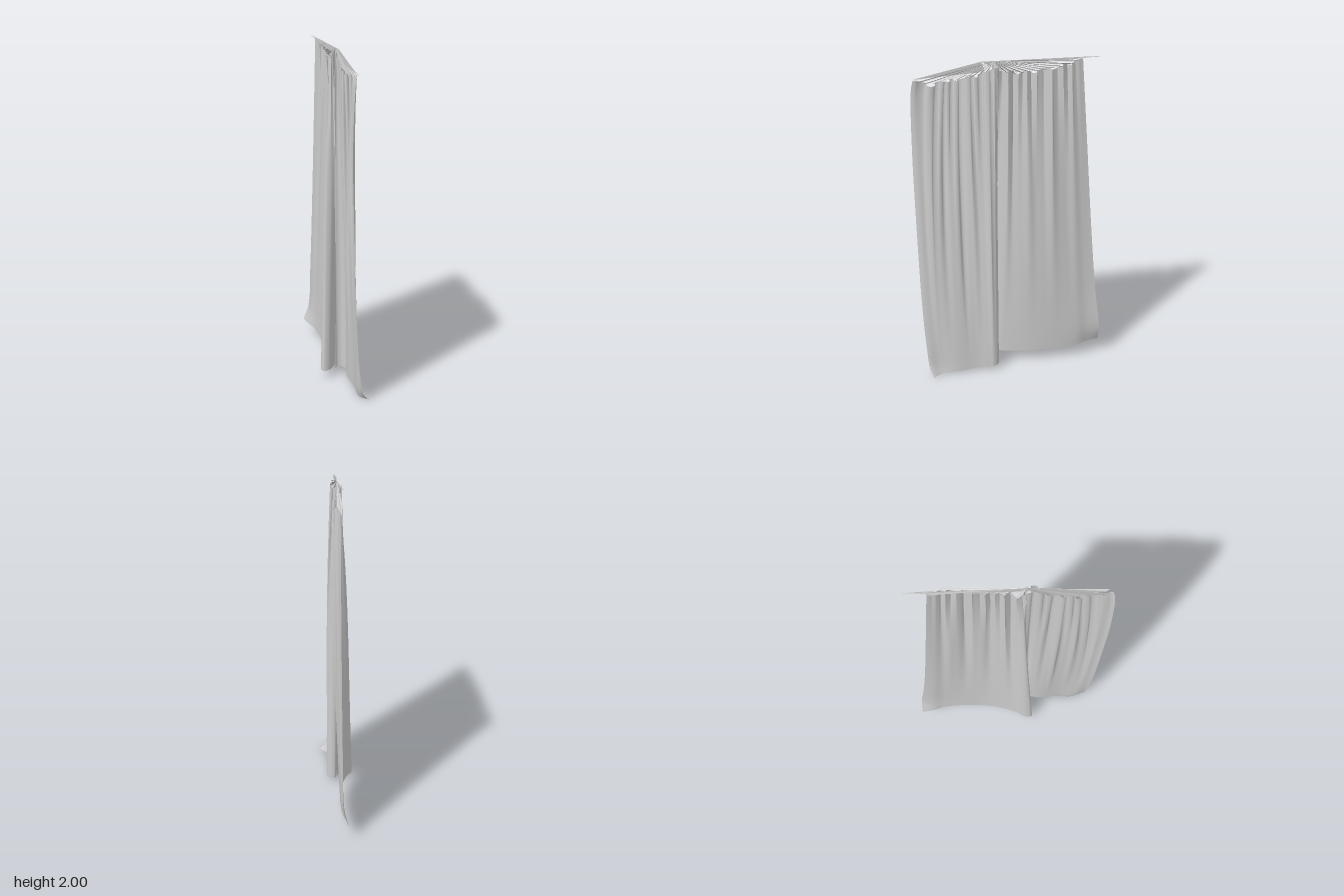
import * as THREE from 'three';

const cloth = new THREE.MeshStandardMaterial({ color: 0xcccccc, side: THREE.DoubleSide });
const curve = pts => new THREE.CatmullRomCurve3(pts.map(p => new THREE.Vector3(...p)));

// Point of a rising edge line at a given height
function atHeight(points, y) {
  let i = 1;
  while (i < points.length - 1 && points[i].y < y) i++;
  const a = points[i - 1], b = points[i];
  return a.clone().lerp(b, THREE.MathUtils.clamp((y - a.y) / (b.y - a.y), 0, 1));
}

// Irregular pleats: phase and strength wander along the panel, u = 0 at the outer edge
function pleat(p, u) {
  const phase = u * p.folds * Math.PI * 2 + 1.3 * Math.sin(u * 15 + p.seed);
  const calm = THREE.MathUtils.smoothstep(u, 0, p.calm);
  return { phase, amp: calm * (0.7 + 0.3 * Math.sin(u * 37 + p.seed * 2)) };
}

// One hanging sheet: hem, middle and header cross-sections blended, then pleated
function panel(p) {
  const nu = 260, nv = 80, pos = [], idx = [];
  const hem = curve(p.hem), mid = curve(p.mid), top = curve(p.top);
  const edge = curve(p.edge).getPoints(120);
  const blend = (t, v) => {
    const a = hem.getPoint(t), m = mid.getPoint(t), b = top.getPoint(t);
    const y = a.y + (b.y - a.y) * v;
    a.multiplyScalar((1 - v) * (1 - 2 * v));
    a.addScaledVector(m, 4 * v * (1 - v)).addScaledVector(b, v * (2 * v - 1));
    a.y = y;
    return a;
  };
  for (let j = 0; j <= nv; j++) {
    const v = j / nv, outer = blend(0, v), e = atHeight(edge, outer.y);
    for (let i = 0; i <= nu; i++) {
      const u = i / nu, q = blend(hem.getUtoTmapping(u), v), f = pleat(p, u);
      const pull = Math.pow(1 - u, 8);
      // each pleat fades downward at its own rate
      const fade = f.amp * Math.pow(v, p.fade + 2 * Math.sin(u * 19 + p.seed));
      const soft = f.amp * v * v * (1 - v) * 0.07 * Math.sin(u * 31 + p.seed);
      pos.push(
        q.x + 0.023 * fade * Math.sin(f.phase) + soft + pull * (e.x - outer.x),
        q.y + 0.012 * f.amp * Math.pow(v, 12) * Math.sin(f.phase * 0.6),
        q.z + 0.011 * fade * Math.sin(2 * f.phase) + pull * (e.z - outer.z));
    }
  }
  for (let j = 0; j < nv; j++) for (let i = 0; i < nu; i++) {
    const a = j * (nu + 1) + i, c = a + nu + 1;
    idx.push(a, a + 1, c + 1, a, c + 1, c);
  }
  return mesh(p.name, pos, idx);
}

function mesh(name, pos, idx) {
  const g = new THREE.BufferGeometry();
  g.setAttribute('position', new THREE.Float32BufferAttribute(pos, 3));
  g.setIndex(idx);
  g.computeVertexNormals();
  const m = new THREE.Mesh(g, cloth);
  m.name = name;
  return m;
}

// Narrow webs fanning from the central hanging point to the pleat tops
function fan(p, name) {
  const pos = [], idx = [], n = 24, top = curve(p.top);
  for (let i = 0; i < n; i++) {
    const a = top.getPointAt(i / n), b = top.getPointAt((i + 0.9) / n);
    const side = i % 2 ? 0.018 : -0.016;
    pos.push(0, 2, 0.1, a.x + side, a.y, a.z, b.x + side * 0.3, b.y, b.z);
    idx.push(3 * i, 3 * i + 1, 3 * i + 2);
  }
  return mesh(name, pos, idx);
}

export function createModel() {
  const group = new THREE.Group();
  group.name = 'curtains';

  const front = {
    name: 'frontCurtain', folds: 9, seed: 1.3, calm: 0.08, fade: 3.5,
    hem: [[0.096, 0.004, 0.505], [0.054, 0.003, 0.455], [0.054, 0.012, 0.35], [0.046, 0.022, 0.22], [0.057, 0.03, 0.15],
      [0.061, 0.033, 0.12], [0.042, 0.035, 0.09], [0.012, 0.036, 0.087], [0, 0.036, 0.11]],
    mid: [[-0.01, 1, 0.568], [0.01, 1, 0.5], [0.02, 1, 0.38], [0.022, 1, 0.24], [0.037, 1, 0.17],
      [0.049, 1, 0.13], [0.032, 1, 0.092], [0.005, 1, 0.088], [-0.01, 1, 0.11]],
    top: [[0, 1.91, 0.555], [0.003, 1.89, 0.46], [0, 1.9, 0.36], [0.005, 1.915, 0.25], [0.012, 1.93, 0.18],
      [0.018, 1.95, 0.13], [0.012, 1.965, 0.095], [0, 1.965, 0.09], [-0.006, 1.96, 0.11]],
    edge: [[0.096, 0.004, 0.505], [0.06, 0.05, 0.525], [0.034, 0.2, 0.54], [0.01, 0.5, 0.556],
      [-0.01, 1, 0.568], [-0.024, 1.5, 0.574], [-0.01, 1.85, 0.567], [0, 1.91, 0.555]],
  };
  const back = {
    name: 'backCurtain', folds: 10, seed: 4.1, calm: 0.22, fade: 5,
    hem: [[-0.05, 0.1, -0.573], [-0.038, 0.095, -0.5], [-0.015, 0.09, -0.42], [-0.012, 0.075, -0.15],
      [-0.06, 0.065, 0.05], [-0.098, 0.055, 0.125], [-0.092, 0.052, 0.165], [-0.055, 0.052, 0.16],
      [-0.02, 0.05, 0.12], [0, 0.05, 0.085]],
    mid: [[-0.004, 1, -0.487], [0.002, 1, -0.43], [0.014, 1, -0.36], [0.017, 1, -0.13], [-0.02, 1, 0.03],
      [-0.058, 1, 0.085], [-0.06, 1, 0.12], [-0.035, 1, 0.12], [-0.01, 1, 0.1], [0.005, 1, 0.085]],
    top: [[0, 1.995, -0.41], [0.01, 1.985, -0.37], [0.022, 1.965, -0.31], [0.016, 1.935, -0.12], [0, 1.93, 0.02],
      [-0.02, 1.945, 0.06], [-0.025, 1.955, 0.085], [-0.012, 1.96, 0.09], [0, 1.96, 0.085], [0.005, 1.96, 0.075]],
    edge: [[-0.05, 0.1, -0.573], [-0.016, 0.2, -0.572], [-0.01, 0.5, -0.535], [-0.006, 0.9, -0.497],
      [-0.002, 1.5, -0.449], [0, 1.995, -0.41]],
  };
  group.add(panel(front), panel(back));
  group.add(fan(front, 'frontHeaderWeb'), fan(back, 'backHeaderWeb'));

  // Taut strip along the top, ending in a thin point past the back curtain
  group.add(mesh('topStrip', [
    0, 1.915, 0.555, 0, 2, 0.17, 0, 1.94, 0.15,
    0, 2, 0.17, 0, 2, -0.54, 0, 1.96, 0.1,
    -0.01, 1.998, -0.38, 0.01, 1.992, -0.38, 0, 2, -0.54,
  ], [0, 1, 2, 3, 4, 5, 6, 7, 8]));
  return group;
}
